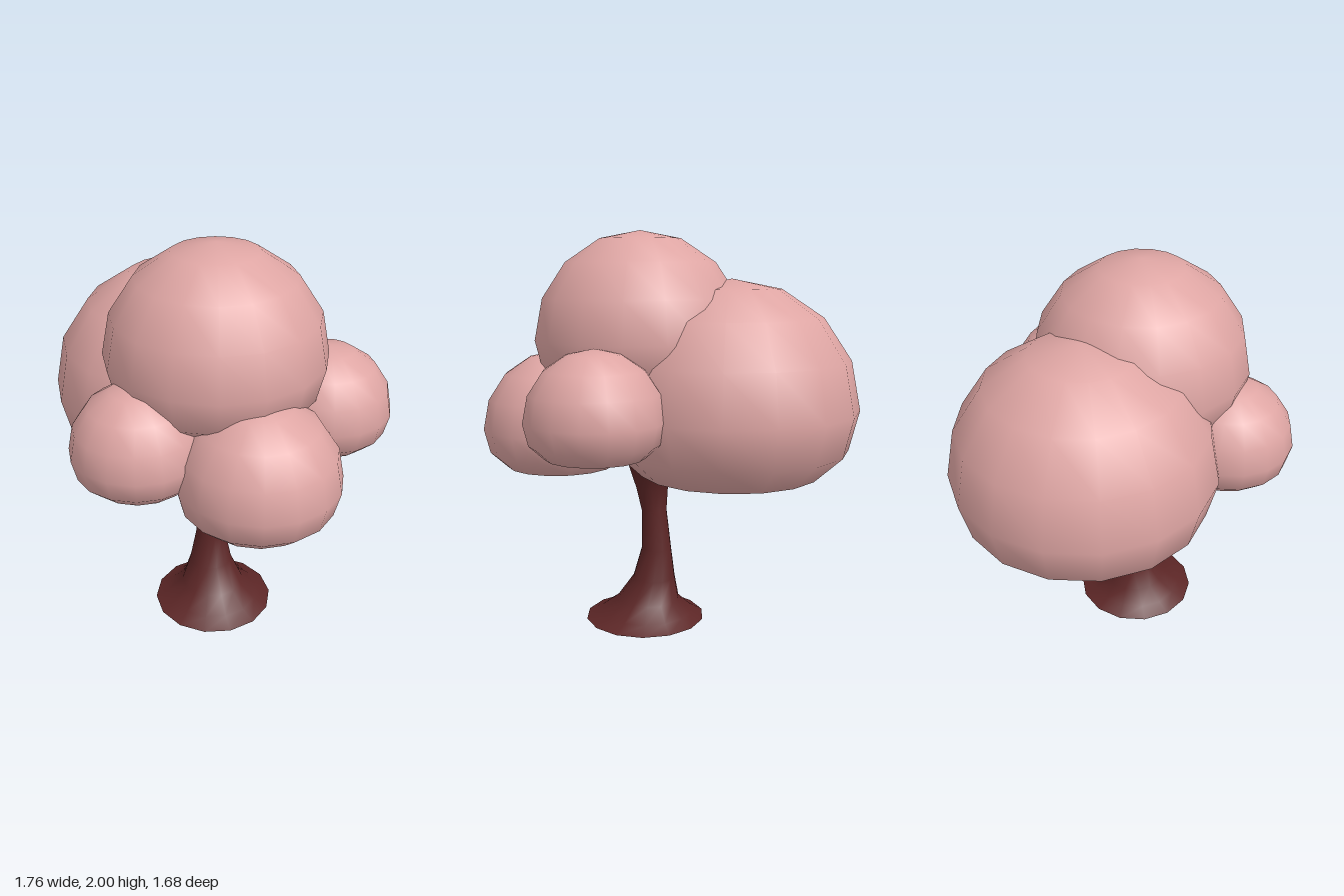
import * as THREE from 'three';

const leafPink = new THREE.MeshStandardMaterial({ color: 0xdea5a3 });
leafPink.name = 'leaf pink';
const barkBrown = new THREE.MeshStandardMaterial({ color: 0x5c2626 });
barkBrown.name = 'bark brown';

// Foliage puff: a round dome whose lower half is squashed and dimpled
function puffGeometry() {
  const geo = new THREE.SphereGeometry(1, 16, 8);
  const pos = geo.attributes.position;
  const lower = [0, -0.31, -0.51, -0.545, -0.46]; // heights of the rings below the widest one
  for (let i = 0; i < pos.count; i++) {
    const ring = Math.floor(i / 17);
    if (ring > 4) pos.setY(i, lower[ring - 4]);
  }
  geo.computeVertexNormals();
  // Blend the normals across the seam
  const n = geo.attributes.normal;
  for (let r = 0; r <= 8; r++) {
    const a = r * 17, b = a + 16;
    const v = new THREE.Vector3().fromBufferAttribute(n, a).add(new THREE.Vector3().fromBufferAttribute(n, b));
    if (r === 0 || r === 8) v.set(0, r ? -1 : 1, 0);
    v.normalize();
    n.setXYZ(a, v.x, v.y, v.z);
    n.setXYZ(b, v.x, v.y, v.z);
    if (r === 0 || r === 8) for (let k = a; k <= b; k++) n.setXYZ(k, v.x, v.y, v.z);
  }
  return geo;
}

// Trunk: rings of [height, radius, centre x, centre z], flared at both ends
function trunkGeometry() {
  const rings = [
    [0, 0.31, 0.07, 0.11],
    [0.035, 0.24, 0.065, 0.105],
    [0.1, 0.163, 0.06, 0.095],
    [0.22, 0.11, 0.04, 0.07],
    [0.38, 0.077, 0.034, 0.056],
    [0.58, 0.065, 0.041, 0.065],
    [0.7, 0.083, 0.046, 0.075],
    [0.8, 0.122, 0.04, 0.072],
    [0.9, 0.165, 0.03, 0.06],
  ];
  const sides = 14;
  const positions = [], index = [];
  for (const [y, r, cx, cz] of rings) {
    for (let s = 0; s < sides; s++) {
      const a = (s / sides) * Math.PI * 2;
      positions.push(cx + r * Math.cos(a), y, cz + r * Math.sin(a));
    }
  }
  for (let k = 0; k < rings.length - 1; k++) {
    for (let s = 0; s < sides; s++) {
      const a = k * sides + s, b = k * sides + ((s + 1) % sides);
      index.push(a, a + sides, b, b, a + sides, b + sides);
    }
  }
  const geo = new THREE.BufferGeometry();
  geo.setAttribute('position', new THREE.Float32BufferAttribute(positions, 3));
  geo.setIndex(index);
  geo.computeVertexNormals();
  return geo;
}

export function createModel() {
  const tree = new THREE.Group();
  tree.name = 'tree';

  const trunk = new THREE.Mesh(trunkGeometry(), barkBrown);
  trunk.name = 'trunk';
  tree.add(trunk);

  // Flat underside of the trunk
  const base = new THREE.Mesh(new THREE.CircleGeometry(0.31, 14), barkBrown);
  base.name = 'trunkBase';
  base.rotation.x = Math.PI / 2;
  base.position.set(0.07, 0, 0.11);
  tree.add(base);

  // Foliage puffs: name, centre, radius
  const puff = puffGeometry();
  const puffs = [
    ['backFoliage', -0.24, 1.12, -0.2, 0.643],
    ['topFoliage', 0.083, 1.467, 0.118, 0.53],
    ['frontRightFoliage', -0.137, 1.125, 0.52, 0.32],
    ['leftFoliage', 0.55, 1.135, -0.17, 0.326],
    ['frontLeftFoliage', 0.395, 1.015, 0.39, 0.39],
  ];
  for (const [name, x, y, z, r] of puffs) {
    const mesh = new THREE.Mesh(puff, leafPink);
    mesh.name = name;
    mesh.position.set(x, y, z);
    mesh.scale.setScalar(r);
    tree.add(mesh);
  }
  return tree;
}
